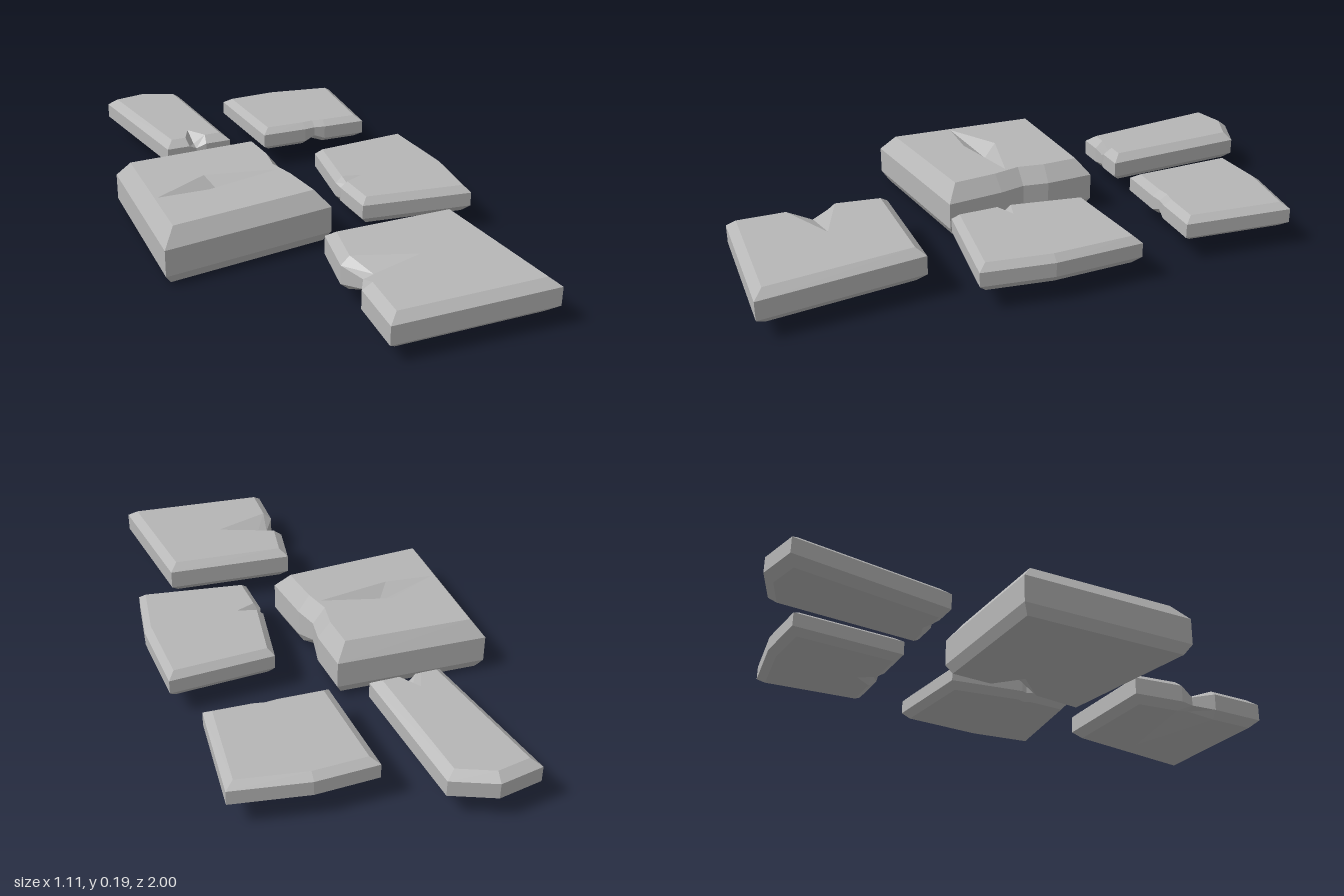
import * as THREE from 'three';

const stone = new THREE.MeshStandardMaterial({ color: 0xb6b6b6, flatShading: true });
stone.name = 'grey stone';

// Outline moved inwards by d, with mitred corners
function inset(pts, d) {
  const normal = (a, b) => {
    const l = Math.hypot(b[0] - a[0], b[1] - a[1]);
    return [(b[1] - a[1]) / l, (a[0] - b[0]) / l];
  };
  return pts.map((p, i) => {
    const n = normal(pts.at(i - 1), p), m = normal(p, pts[(i + 1) % pts.length]);
    const k = d / (1 + n[0] * m[0] + n[1] * m[1]);
    return [p[0] + k * (n[0] + m[0]), p[1] + k * (n[1] + m[1])];
  });
}

// Bevelled slab. Outline points are [x, z, chip]; a chip is { top / bottom: [tipX, tipZ, depth] }.
// heights: bottom, lower edge, upper edge, top. groove: four rim points and a sunken middle.
function slab({ name, outline, heights, bevel, bottomBevel = bevel, slope = [0, 0], groove }) {
  const pos = [];
  const tri = (a, b, c) => pos.push(...a, ...b, ...c);
  const at = (x, z, y) => [x, y + slope[0] * x + slope[1] * z, z];
  const count = outline.length;
  const insets = [bottomBevel, 0, 0, bevel];
  const rings = heights.map((y, r) => inset(outline, insets[r]).map(([x, z], i) => {
    const chip = outline[i][2] || {};
    const cut = r < 2 ? chip.bottom?.[2] : -(chip.top?.[2] ?? 0);
    return at(x, z, y + (cut || 0) * (r === 0 || r === 3 ? 1 : 0.5));
  }));

  // Bevels and sides
  for (let r = 0; r < 3; r++) {
    for (let i = 0; i < count; i++) {
      const j = (i + 1) % count, lo = rings[r], hi = rings[r + 1];
      tri(lo[i], lo[j], hi[j]);
      tri(lo[i], hi[j], hi[i]);
    }
  }

  // Caps, cut back to the chip tips
  for (const side of ['bottom', 'top']) {
    const up = side === 'top', ring = rings[up ? 3 : 0], y = heights[up ? 3 : 0];
    const face = (a, b, c) => {
      const ny = (b[2] - a[2]) * (c[0] - a[0]) - (b[0] - a[0]) * (c[2] - a[2]);
      if ((ny > 0) === up) tri(a, b, c); else tri(a, c, b);
    };
    const rim = ring.map((p, i) => {
      const tip = outline[i][2]?.[side];
      if (!tip) return p;
      const t = at(tip[0], tip[1], y);
      face(ring.at(i - 1), p, t);
      face(p, ring[(i + 1) % count], t);
      return t;
    });
    const hole = up && groove ? groove.rim.map(([x, z]) => at(x, z, y)) : [];
    const flat = list => list.map(p => new THREE.Vector2(p[0], p[2]));
    const all = [...rim, ...hole];
    const faces = THREE.ShapeUtils.triangulateShape(flat(rim), hole.length ? [flat(hole)] : []);
    for (const [a, b, c] of faces) face(all[a], all[b], all[c]);
    if (hole.length) {
      const mid = at(groove.mid[0], groove.mid[1], y - groove.depth);
      hole.forEach((p, i) => face(p, hole[(i + 1) % hole.length], mid));
    }
  }

  const geo = new THREE.BufferGeometry();
  geo.setAttribute('position', new THREE.Float32BufferAttribute(pos, 3));
  geo.computeVertexNormals();
  const mesh = new THREE.Mesh(geo, stone);
  mesh.name = name;
  return mesh;
}

const slabs = [
  {
    name: 'narrowBackSlab', heights: [0.06, 0.085, 0.138, 0.162], bevel: 0.03,
    outline: [[-0.39, -0.97], [-0.31, -0.42], [-0.225, -0.42],
      [-0.195, -0.432, { top: [-0.2, -0.52, 0.035] }],
      [-0.16, -0.42], [-0.065, -0.42], [-0.1, -0.94], [-0.24, -1.0]],
  },
  {
    name: 'wideBackSlab', heights: [0.07, 0.09, 0.138, 0.157], bevel: 0.027,
    outline: [[0.05, -0.81], [0.07, -0.41], [0.24, -0.407],
      [0.28, -0.411, { bottom: [0.28, -0.49, 0.03] }],
      [0.32, -0.404], [0.48, -0.4], [0.51, -0.78], [0.26, -0.82]],
  },
  {
    // Large thick slab with a groove across its top
    name: 'largeSlab', heights: [0.014, 0.048, 0.14, 0.196], bevel: 0.043, bottomBevel: 0.02,
    slope: [0.015, 0],
    outline: [[-0.54, -0.29], [-0.555, 0.325], [0.04, 0.26], [0.015, 0.06],
      [-0.008, -0.03, { bottom: [-0.11, -0.04, 0.05] }], [0.005, -0.12], [-0.005, -0.29]],
    groove: {
      rim: [[-0.495, 0.065], [-0.32, 0.075], [-0.052, 0.02], [-0.3, -0.04]],
      mid: [-0.27, 0.012], depth: 0.04,
    },
  },
  {
    name: 'rightSlab', heights: [0.065, 0.09, 0.138, 0.16], bevel: 0.023,
    outline: [[0.175, -0.175], [0.135, 0.09],
      [0.143, 0.11, { top: [0.225, 0.105, 0.02] }],
      [0.134, 0.13], [0.14, 0.29], [0.525, 0.34], [0.555, 0.1], [0.54, -0.205]],
  },
  {
    // Front slab chipped through its left edge
    name: 'frontSlab', heights: [0.065, 0.092, 0.155, 0.18], bevel: 0.03,
    slope: [0.015, -0.024],
    outline: [[-0.07, 0.445], [-0.103, 0.63],
      [-0.065, 0.705, { top: [0.13, 0.7, 0.03], bottom: [0.3, 0.7, 0.03] }],
      [-0.107, 0.78], [-0.117, 0.98], [0.435, 0.995], [0.38, 0.455]],
  },
];

export function createModel() {
  const group = new THREE.Group();
  group.name = 'pavingStones';
  for (const s of slabs) group.add(slab(s));
  return group;
}
